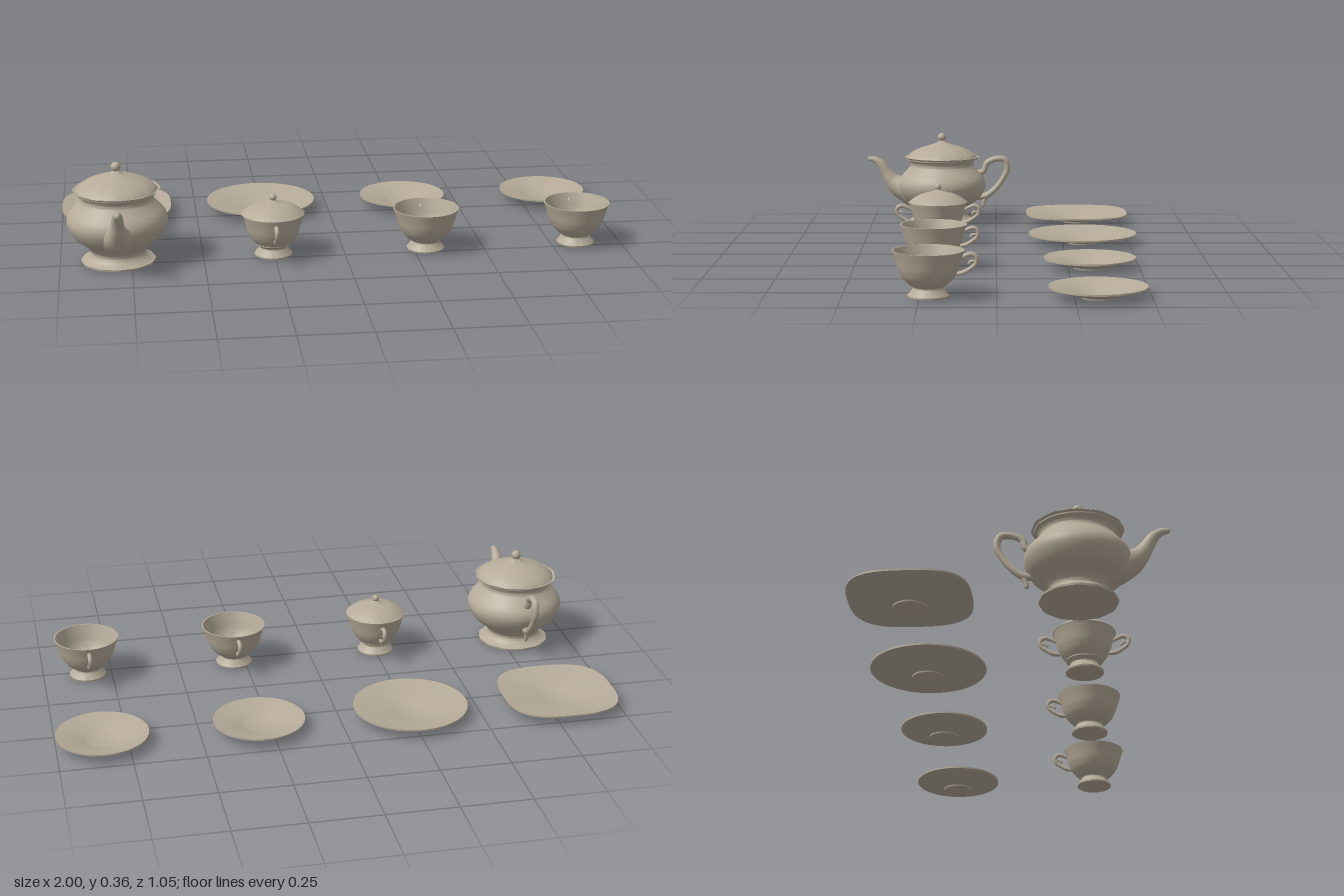
import * as THREE from 'three';
import { mergeVertices, toCreasedNormals } from 'three/addons/utils/BufferGeometryUtils.js';

const porcelain = new THREE.MeshStandardMaterial({ color: 0xb6ab99 });
porcelain.name = 'porcelain';

const smooth = (pts, n = 20) =>
  new THREE.SplineCurve(pts.map(([x, y]) => new THREE.Vector2(x, y))).getPoints(n).map((p) => [Math.max(p.x, 0), p.y]);

const add = (group, name, geometry) => {
  const mesh = new THREE.Mesh(geometry, porcelain);
  mesh.name = name;
  group.add(mesh);
  return mesh;
};

// Turned part; stretch(angle, radius, y) scales the radius
function turned(profile, stretch, segments = 56) {
  let g = new THREE.LatheGeometry(profile.map(([x, y]) => new THREE.Vector2(x, y)), segments);
  if (stretch) {
    const p = g.attributes.position;
    for (let i = 0; i < p.count; i++) {
      const x = p.getX(i), z = p.getZ(i);
      const k = stretch(Math.atan2(z, x), Math.hypot(x, z), p.getY(i));
      p.setX(i, x * k);
      p.setZ(i, z * k);
    }
  }
  g.deleteAttribute('uv');
  g.deleteAttribute('normal');
  g = mergeVertices(g, 1e-5);
  return toCreasedNormals(g, 0.75);
}

// Tube in the y-z plane through [z, y, radius] points
function taperedTube(points, rings = 48, sides = 14) {
  const curve = new THREE.CatmullRomCurve3(points.map(([z, y]) => new THREE.Vector3(0, y, z)));
  const g = new THREE.TubeGeometry(curve, rings, 1, sides);
  const p = g.attributes.position, v = new THREE.Vector3();
  for (let i = 0; i <= rings; i++) {
    const t = curve.getUtoTmapping(i / rings) * (points.length - 1);
    const a = Math.min(Math.floor(t), points.length - 2);
    const radius = THREE.MathUtils.lerp(points[a][2], points[a + 1][2], t - a);
    const centre = curve.getPointAt(i / rings);
    for (let j = 0; j <= sides; j++) {
      const k = i * (sides + 1) + j;
      v.fromBufferAttribute(p, k).sub(centre).multiplyScalar(radius).add(centre);
      p.setXYZ(k, v.x, v.y, v.z);
    }
  }
  g.deleteAttribute('uv');
  g.deleteAttribute('normal');
  const merged = mergeVertices(g, 1e-5);
  merged.computeVertexNormals();
  return merged;
}

function knob(group, y, r) {
  const mesh = add(group, 'lidKnob', new THREE.SphereGeometry(r, 24, 16));
  mesh.position.y = y;
}

const scallop = (amount) => (a) => 1 + amount * Math.cos(a * 12);

function teapot() {
  const g = new THREE.Group();
  g.name = 'teapot';
  // Body with scalloped foot and flared neck
  const body = [
    [0, 0.004], [0.128, 0.004], [0.129, 0.011],
    ...smooth([[0.116, 0.016], [0.101, 0.028], [0.096, 0.045], [0.116, 0.07], [0.155, 0.102], [0.176, 0.145],
      [0.169, 0.18], [0.142, 0.212], [0.127, 0.232], [0.132, 0.25], [0.151, 0.266]], 40),
    [0.145, 0.266], [0.13, 0.255], [0, 0.255],
  ];
  add(g, 'teapotBody', turned(body, (a, r, y) => (y < 0.02 || y > 0.25 ? scallop(0.012)(a) : 1)));
  // Domed lid
  const lid = [[0, 0.256], [0.143, 0.256],
    ...smooth([[0.144, 0.262], [0.132, 0.276], [0.108, 0.292], [0.08, 0.304], [0.05, 0.313], [0.024, 0.322],
      [0.012, 0.332], [0.01, 0.34]], 24), [0, 0.345]];
  add(g, 'teapotLid', turned(lid, (a, r) => (r > 0.06 ? scallop(0.008)(a) : 1)));
  knob(g, 0.345, 0.017);
  // Swan-neck spout
  add(g, 'spout', taperedTube([[0.09, 0.125, 0.07], [0.135, 0.135, 0.062], [0.172, 0.147, 0.046], [0.203, 0.171, 0.031],
    [0.225, 0.203, 0.023], [0.247, 0.236, 0.019], [0.272, 0.254, 0.013], [0.3, 0.257, 0.008], [0.303, 0.257, 0]]));
  // Looped handle with curled ends
  add(g, 'teapotHandle', taperedTube([[-0.135, 0.2, 0.011], [-0.168, 0.206, 0.012], [-0.182, 0.239, 0.012],
    [-0.215, 0.256, 0.012], [-0.253, 0.254, 0.013], [-0.265, 0.218, 0.012], [-0.246, 0.174, 0.011],
    [-0.213, 0.132, 0.012], [-0.178, 0.106, 0.013], [-0.14, 0.1, 0.012]], 64));
  add(g, 'handleSpur', taperedTube([[-0.185, 0.112, 0.01], [-0.172, 0.088, 0.009], [-0.166, 0.064, 0.007], [-0.165, 0.058, 0]], 16, 10));
  return g;
}

// Small cup handle on the -z side
function cupHandle(g, name, turn = 0) {
  const loop = new THREE.Group();
  loop.name = name;
  add(loop, 'handleLoop', taperedTube([[-0.098, 0.126, 0.006], [-0.116, 0.136, 0.007], [-0.138, 0.143, 0.008],
    [-0.154, 0.133, 0.008], [-0.152, 0.112, 0.007], [-0.132, 0.094, 0.007], [-0.108, 0.081, 0.008], [-0.084, 0.078, 0.006]], 40, 10));
  add(loop, 'thumbCurl', taperedTube([[-0.15, 0.118, 0.005], [-0.136, 0.119, 0.005], [-0.13, 0.109, 0.005], [-0.131, 0.106, 0]], 12, 8));
  loop.rotation.y = turn;
  g.add(loop);
}

// Footed bowl outline shared by the cups and sugar bowl
const footProfile = [[0, 0.004], [0.066, 0.004], [0.067, 0.01],
  ...smooth([[0.06, 0.018], [0.052, 0.029], [0.05, 0.037], [0.064, 0.047], [0.084, 0.068], [0.098, 0.095], [0.107, 0.125], [0.117, 0.156]], 28)];

function cup() {
  const g = new THREE.Group();
  g.name = 'cup';
  const inside = smooth([[0.112, 0.156], [0.102, 0.125], [0.093, 0.095], [0.078, 0.069], [0.054, 0.052], [0, 0.048]], 20);
  add(g, 'cupBowl', turned([...footProfile, ...inside]));
  cupHandle(g, 'cupHandle');
  return g;
}

function sugarBowl() {
  const g = new THREE.Group();
  g.name = 'sugarBowl';
  add(g, 'sugarBowlBody', turned([...footProfile.map(([r, y]) => [y > 0.05 ? r * 0.93 : r, y]), [0, 0.156]]));
  const lid = [[0, 0.152], [0.11, 0.153], [0.111, 0.157],
    ...smooth([[0.106, 0.161], [0.088, 0.174], [0.062, 0.187], [0.036, 0.194], [0.014, 0.201], [0.008, 0.21]], 20), [0, 0.212]];
  add(g, 'sugarBowlLid', turned(lid));
  knob(g, 0.214, 0.013);
  cupHandle(g, 'rearHandle');
  cupHandle(g, 'frontHandle', Math.PI);
  return g;
}

function plate(radius, square = false) {
  const g = new THREE.Group();
  g.name = square ? 'squarePlate' : 'roundPlate';
  const profile = [[0, 0], [0.055, 0], [0.056, 0.005], [radius, 0.034], [radius, 0.04],
    [radius * 0.75, 0.031], [radius * 0.5, 0.021], [0.06, 0.013], [0.05, 0.01], [0, 0.01]];
  // Outer rim swells into rounded corners
  const squircle = (a, r) => {
    const f = (Math.abs(Math.cos(a)) ** 3 + Math.abs(Math.sin(a)) ** 3) ** (-1 / 3);
    return 1 + (f - 1) * THREE.MathUtils.clamp((r - 0.05) / (radius - 0.05), 0, 1);
  };
  add(g, 'dish', turned(profile, square ? squircle : null, 72));
  return g;
}

export function createModel() {
  const set = new THREE.Group();
  set.name = 'teaSet';
  const place = (part, x, z) => {
    part.position.set(x, 0, z);
    set.add(part);
  };
  // Vessels in the front row, plates behind
  place(teapot(), -0.797, 0.219);
  place(sugarBowl(), -0.253, 0.22);
  place(plate(0.203, true), -0.797, -0.326);
  place(plate(0.203), -0.253, -0.326);
  for (const x of [0.291, 0.838]) {
    place(cup(), x, 0.22);
    place(plate(0.161), x, -0.326);
  }
  return set;
}
